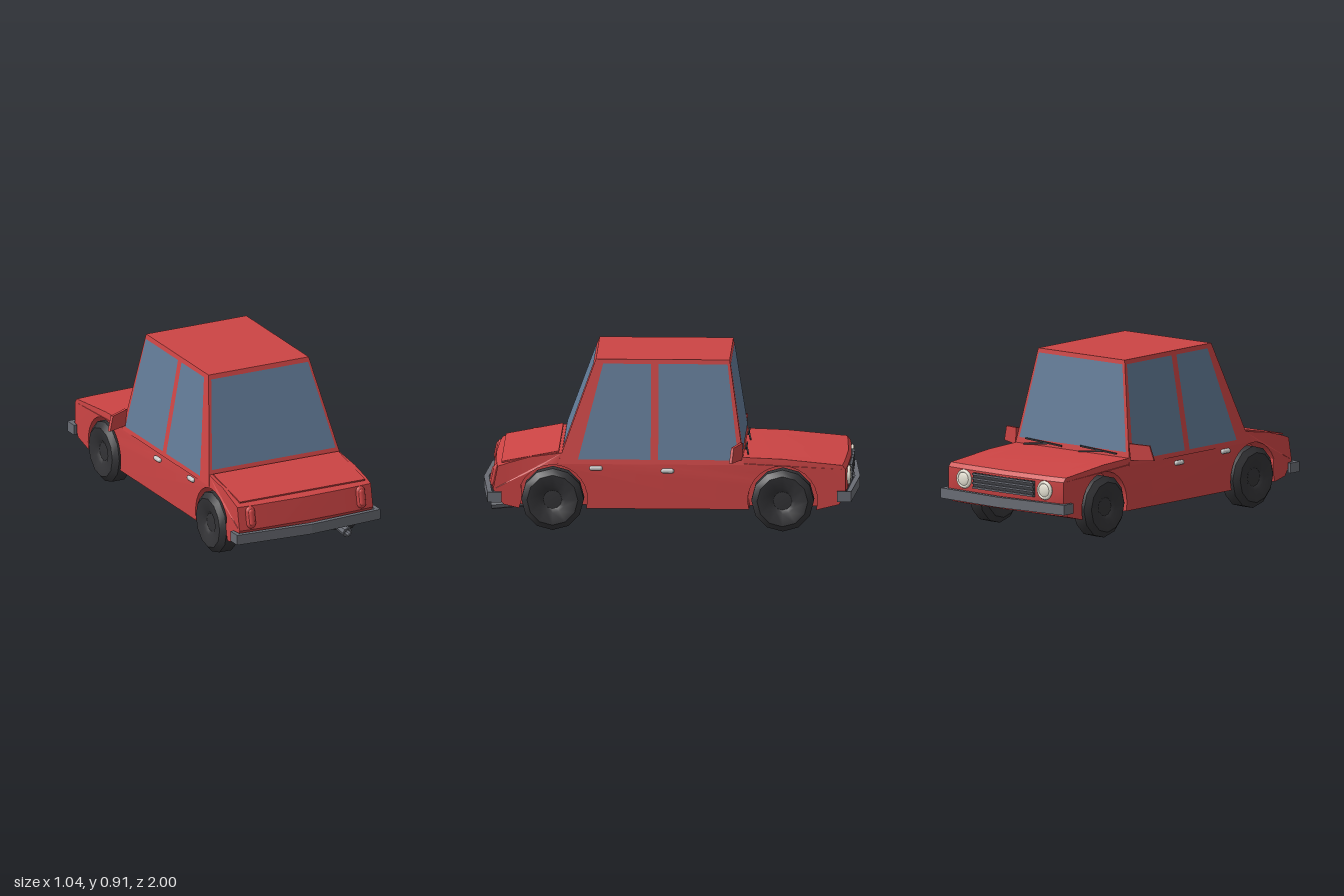
import * as THREE from 'three';
import { toCreasedNormals } from 'three/addons/utils/BufferGeometryUtils.js';

const paint = (color, side = THREE.FrontSide) => new THREE.MeshStandardMaterial({ color, side });
const RED = paint(0xcc4444), GLASS = paint(0x617a96, THREE.DoubleSide), TYRE = paint(0x333336);
const STEEL = paint(0x696c74), DARK = paint(0x3c3d42), CHROME = paint(0xd4d4d4);
const LAMP = paint(0xe6e2d4), TAIL = paint(0xd84848);

export function createModel() {
  const car = new THREE.Group();
  car.name = 'car';
  const add = (name, geo, mat, x = 0, y = 0, z = 0) => {
    const m = new THREE.Mesh(geo, mat);
    m.name = name;
    m.position.set(x, y, z);
    car.add(m);
    return m;
  };
  const box = (w, h, d) => new THREE.BoxGeometry(w, h, d);

  // Lower body: side profile, with or without wheel arches (u runs towards the nose at -z)
  const WHEELS = [-0.60, 0.62];
  const profile = (arches) => {
    const s = new THREE.Shape();
    s.moveTo(0.92, 0.15);
    s.lineTo(0.78, 0.12);
    if (arches) for (const z of WHEELS) s.absarc(-z, 0.17, 0.185, -0.274, Math.PI + 0.274, false);
    else s.lineTo(-0.80, 0.12);
    [[-0.90, 0.14], [-0.955, 0.22], [-0.93, 0.345], [-0.88, 0.362], [-0.74, 0.395], [-0.57, 0.417],
      [0.39, 0.40], [0.60, 0.392], [0.935, 0.362], [0.953, 0.34], [0.953, 0.22]].forEach(p => s.lineTo(...p));
    s.closePath();
    return s;
  };
  const slab = (name, x0, x1, arches) => {
    const g = new THREE.ExtrudeGeometry(profile(arches), {
      depth: x1 - x0, steps: 2, bevelEnabled: false, curveSegments: 8,
    });
    g.rotateY(Math.PI / 2).translate(x0, 0, 0);
    const p = g.attributes.position;
    for (let i = 0; i < p.count; i++) { // tuck in the shoulders and bow the nose and tail
      const x = p.getX(i), y = p.getY(i), z = p.getZ(i);
      p.setX(i, x * (1 - 0.6 * Math.max(0, y - 0.37)));
      if (Math.abs(z) > 0.8) p.setZ(i, z - Math.sign(z) * 0.12 * x * x);
    }
    add(name, toCreasedNormals(g, 0.5), RED);
  };
  slab('bodyCentre', -0.29, 0.29, false);
  slab('leftBodySide', 0.29, 0.40, true);
  slab('rightBodySide', -0.40, -0.29, true);

  // Cabin: a box whose corners follow the sloping pillars
  const sideX = y => 0.30 + (0.908 - y) * 0.184;
  const rearZ = y => 0.572 - (y - 0.417) * 0.363;
  const frontZ = y => -0.39 + (y - 0.40) * 0.1454;
  const cabin = box(2, 2, 2);
  const cp = cabin.attributes.position;
  for (let i = 0; i < cp.count; i++) {
    const y = cp.getY(i) > 0 ? 0.908 : 0.36;
    cp.setXYZ(i, cp.getX(i) * sideX(y), y, cp.getZ(i) > 0 ? rearZ(y) : frontZ(y));
  }
  cabin.computeVertexNormals();
  add('cabin', cabin, RED);

  // Windows: thin panes lying just outside the cabin faces
  const pane = (name, corners) => {
    const g = new THREE.BufferGeometry();
    g.setAttribute('position', new THREE.Float32BufferAttribute(corners.flat(), 3));
    g.setIndex([0, 1, 2, 0, 2, 3]);
    g.computeVertexNormals();
    add(name, g, GLASS);
  };
  const gap = 0.003, top = 0.885;
  pane('rearWindow', [[-0.37, 0.44], [0.37, 0.44], [0.29, top], [-0.29, top]]
    .map(([x, y]) => [x, y, rearZ(y) + gap]));
  pane('windshield', [[0.37, 0.43], [-0.37, 0.43], [-0.29, top], [0.29, top]]
    .map(([x, y]) => [x, y, frontZ(y) - gap]));
  const doors = {
    RearDoorWindow: [[0.485, 0.385], [0.10, 0.385], [0.10, top], [0.355, top]],
    FrontDoorWindow: [[0.06, 0.385], [-0.365, 0.385], [-0.305, top], [0.06, top]],
  };
  for (const [side, s] of [['left', 1], ['right', -1]]) {
    for (const [name, pts] of Object.entries(doors)) {
      const corners = pts.map(([z, y]) => [s * (sideX(y) + gap), y, z]);
      pane(side + name, s > 0 ? corners : corners.reverse());
    }
  }

  // Wheels
  const tyre = new THREE.LatheGeometry([[0, -0.045], [0.05, -0.042], [0.07, -0.055], [0.135, -0.062],
    [0.166, -0.036], [0.166, 0.036], [0.135, 0.062], [0.07, 0.055], [0.05, 0.042], [0, 0.045]]
    .map(p => new THREE.Vector2(...p)), 12);
  tyre.rotateZ(-Math.PI / 2);
  const wheelGeo = toCreasedNormals(tyre, 0.6);
  for (const z of WHEELS) for (const s of [-1, 1])
    add((s > 0 ? 'left' : 'right') + (z < 0 ? 'FrontWheel' : 'RearWheel'), wheelGeo, TYRE, s * 0.362, 0.168, z);

  // Bumpers: bent bar with wrapped ends
  const bar = new THREE.Shape([[-0.43, 0.89], [-0.43, 0.965], [0, 0.998], [0.43, 0.965], [0.43, 0.89],
    [0.412, 0.89], [0.405, 0.942], [0, 0.97], [-0.405, 0.942], [-0.412, 0.89]].map(p => new THREE.Vector2(...p)));
  const bumper = new THREE.ExtrudeGeometry(bar, { depth: 0.055, bevelEnabled: false });
  bumper.rotateX(Math.PI / 2);
  add('rearBumper', bumper, STEEL, 0, 0.211, 0);
  add('frontBumper', bumper, STEEL, 0, 0.226, 0).rotation.y = Math.PI;

  // Grille with slats
  add('grille', box(0.42, 0.085, 0.012), DARK, 0, 0.287, -0.951);
  for (let i = 0; i < 4; i++) add('grilleSlat', box(0.42, 0.01, 0.014), STEEL, 0, 0.251 + i * 0.024, -0.957);

  // Exhaust pipe
  const pipe = new THREE.LatheGeometry([[0.015, 0.07], [0.02, -0.1], [0.027, -0.1], [0.027, 0.1], [0.017, 0.1], [0.015, 0.07], [0, 0.07]]
    .map(p => new THREE.Vector2(...p)), 8);
  pipe.rotateX(Math.PI / 2 + 0.1);
  add('exhaust', toCreasedNormals(pipe, 0.6), STEEL, 0.24, 0.117, 0.85);

  // Mirror blade outline, measured from its inner edge
  const blade = new THREE.Shape([[0, 0.09], [0.115, 0.083], [0.14, 0.003], [0.01, 0]].map(p => new THREE.Vector2(...p)));
  const mirrorGeo = new THREE.ExtrudeGeometry(blade, { depth: 0.016, bevelEnabled: false });
  mirrorGeo.translate(0, 0, -0.008);
  const mirrorFlipped = mirrorGeo.clone().rotateY(Math.PI);

  for (const [side, s] of [['left', 1], ['right', -1]]) {
    // Headlamp with rim
    const lens = new THREE.SphereGeometry(0.042, 14, 6, 0, Math.PI * 2, 0, Math.PI / 2);
    lens.scale(1, 0.35, 1).rotateX(-Math.PI / 2);
    add(side + 'Headlamp', lens, LAMP, s * 0.28, 0.288, -0.947);
    add(side + 'HeadlampRim', new THREE.TorusGeometry(0.042, 0.01, 6, 16), LAMP, s * 0.28, 0.288, -0.948);

    // Tail lamp: oval ring around a smaller lens, leaning with the tail
    const oval = (r, h) => new THREE.CapsuleGeometry(r, h, 4, 10).scale(1, 1, 0.6);
    const rim = add(side + 'TailLampRim', oval(0.028, 0.065), RED, s * 0.33, 0.285, 0.929);
    const lamp = add(side + 'TailLamp', oval(0.016, 0.06), TAIL, s * 0.33, 0.287, 0.941);
    rim.rotation.x = lamp.rotation.x = -0.2;

    // Door handles
    for (const [z, y] of [[0.39, 0.338], [0.01, 0.326]]) {
      const handle = new THREE.CapsuleGeometry(0.013, 0.044, 3, 8).rotateX(Math.PI / 2);
      add(side + 'DoorHandle', handle, CHROME, s * 0.403, y, z);
    }

    // Wing mirror swept back
    const mirror = add(side + 'Mirror', s > 0 ? mirrorGeo : mirrorFlipped, RED, s * 0.388, 0.388, -0.382);
    mirror.rotation.y = -s * 0.4;
  }

  // Wipers: blade and arm, both leaning the same way
  for (const x of [-0.19, 0.19]) {
    add('wiperBlade', box(0.25, 0.008, 0.008), DARK, x, 0.424, -0.402).rotation.z = 0.06;
    add('wiperArm', box(0.15, 0.008, 0.008), DARK, x + 0.05, 0.412, -0.408).rotation.set(0, 0.1, -0.1);
  }

  // Boot lid seam
  add('bootLid', box(0.75, 0.008, 0.31).rotateX(0.19), RED, 0, 0.392, 0.74);
  return car;
}
